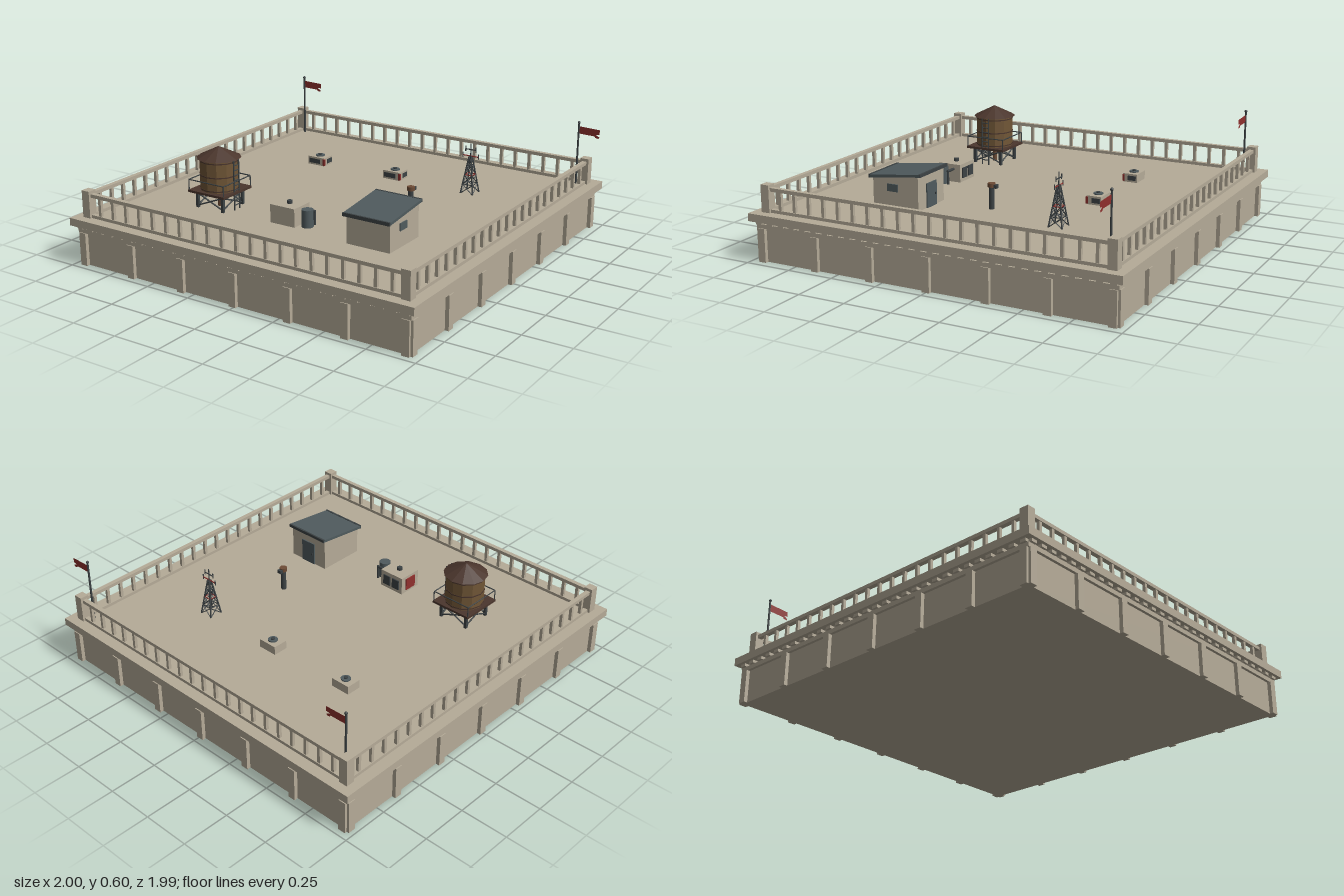
import * as THREE from 'three';

const mat = (name, color, extra = {}) => Object.assign(new THREE.MeshStandardMaterial({ color, ...extra }), { name });

export function createModel() {
  const M = {
    concrete: mat('concrete', 0xb5ab98),
    wood: mat('wood', 0x705636),
    shingle: mat('brown shingle', 0x4b362d),
    slate: mat('slate roofing', 0x505b5e),
    metal: mat('dark metal', 0x3d4345),
    red: mat('red paint', 0x8f302d),
    flag: mat('flag cloth', 0x8f302d, { side: THREE.DoubleSide }),
    rust: mat('rust', 0x6e4c36),
  };
  const model = new THREE.Group();
  const group = (name, x = 0, y = 0, z = 0, parent = model) => {
    const g = new THREE.Group();
    g.name = name;
    g.position.set(x, y, z);
    parent.add(g);
    return g;
  };
  const add = (p, name, geo, m, x = 0, y = 0, z = 0) => {
    const mesh = new THREE.Mesh(geo, m);
    mesh.name = name;
    mesh.position.set(x, y, z);
    p.add(mesh);
    return mesh;
  };
  // boxes and cylinders are placed by the centre of their base
  const box = (p, name, w, h, d, x, y, z, m) => add(p, name, new THREE.BoxGeometry(w, h, d), m, x, y + h / 2, z);
  const cyl = (p, name, r0, r1, h, n, x, y, z, m) => add(p, name, new THREE.CylinderGeometry(r1, r0, h, n), m, x, y + h / 2, z);
  const bar = (p, name, a, b, r, m, n = 6) => {
    const from = new THREE.Vector3(...a), to = new THREE.Vector3(...b);
    const dir = to.clone().sub(from);
    const mesh = add(p, name, new THREE.CylinderGeometry(r, r, dir.length(), n), m);
    mesh.position.copy(from).addScaledVector(dir, 0.5);
    mesh.quaternion.setFromUnitVectors(new THREE.Vector3(0, 1, 0), dir.normalize());
    return mesh;
  };

  // Building block with band and cornice slab
  const building = group('building', -0.008);
  box(building, 'walls', 1.9, 0.215, 1.9, 0, 0, 0, M.concrete);
  box(building, 'band', 1.93, 0.022, 1.93, 0, 0.173, 0, M.concrete);
  box(building, 'cornice', 1.986, 0.04, 1.986, 0, 0.21, 0, M.concrete);

  // Each side: pilasters, dentils, balustrade and one corner post
  for (let s = 0; s < 4; s++) {
    const side = group('side', 0, 0, 0, building);
    side.rotation.y = s * Math.PI / 2;
    for (let i = -3; i <= 3; i++) box(side, 'pilaster', 0.04, 0.173, 0.03, i * 0.3125, 0, 0.955, M.concrete);
    for (let i = 0; i < 30; i++) box(side, 'dentil', 0.032, 0.018, 0.03, (i - 14.5) * 0.065, 0.195, 0.962, M.concrete);
    box(side, 'bottomRail', 1.8, 0.016, 0.024, 0, 0.25, 0.922, M.concrete);
    box(side, 'topRail', 1.8, 0.018, 0.024, 0, 0.357, 0.922, M.concrete);
    for (let i = 0; i < 21; i++) box(side, 'baluster', 0.016, 0.095, 0.016, (i - 10) * 0.0845, 0.264, 0.922, M.concrete);
    box(side, 'cornerPost', 0.047, 0.14, 0.047, 0.922, 0.25, 0.922, M.concrete);
  }

  // Flags on the back corners
  const cloth = new THREE.Shape([
    [0, 0.052], [0.06, 0.05], [0.118, 0.048], [0.118, 0.022], [0.095, 0.02],
    [0.118, 0.008], [0.112, 0], [0.095, 0.002], [0.09, 0.01], [0, 0.012],
  ].map(([x, y]) => new THREE.Vector2(x, y)));
  for (const x of [-0.893, 0.877]) {
    const flag = group('flag', x, 0.25, -0.887);
    cyl(flag, 'flagpole', 0.006, 0.005, 0.335, 8, 0, 0, 0, M.metal);
    add(flag, 'finial', new THREE.SphereGeometry(0.008, 8, 6), M.metal, 0, 0.337, 0);
    add(flag, 'flagCloth', new THREE.ShapeGeometry(cloth), M.flag, 0, 0.265, 0);
  }

  // Water tower
  const tower = group('waterTower', -0.491, 0.25, 0.435);
  for (const a of [-1, 1]) {
    for (const b of [-1, 1]) box(tower, 'towerLeg', 0.015, 0.085, 0.015, a * 0.08, 0, b * 0.08, M.metal);
    for (const b of [-1, 1]) {
      bar(tower, 'crossBrace', [-0.08 * b, 0.01, a * 0.08], [0.08 * b, 0.075, a * 0.08], 0.004, M.metal);
      bar(tower, 'crossBrace', [a * 0.08, 0.01, -0.08 * b], [a * 0.08, 0.075, 0.08 * b], 0.004, M.metal);
    }
  }
  box(tower, 'platform', 0.228, 0.012, 0.228, 0, 0.083, 0, M.shingle);
  for (let s = 0; s < 4; s++) {
    const rail = group('platformRail', 0, 0, 0, tower);
    rail.rotation.y = s * Math.PI / 2;
    bar(rail, 'handrail', [-0.11, 0.15, 0.11], [0.11, 0.15, 0.11], 0.003, M.metal);
    bar(rail, 'railPost', [0.11, 0.095, 0.11], [0.11, 0.15, 0.11], 0.003, M.metal);
  }
  const tank = new THREE.CylinderGeometry(0.1, 0.1, 0.17, 12).toNonIndexed();
  tank.computeVertexNormals();
  add(tower, 'tank', tank, M.wood, 0, 0.18, 0);
  for (const y of [0.1, 0.172, 0.245]) cyl(tower, 'tankHoop', 0.102, 0.102, 0.006, 12, 0, y, 0, M.shingle);
  const roof = new THREE.ConeGeometry(0.114, 0.057, 12).toNonIndexed();
  roof.computeVertexNormals();
  add(tower, 'tankRoof', roof, M.shingle, 0, 0.288, 0);
  cyl(tower, 'outletPipe', 0.012, 0.012, 0.085, 8, 0, 0, 0, M.rust);
  for (const z of [-0.02, 0.02]) bar(tower, 'ladderRail', [0.108, 0, z], [0.108, 0.26, z], 0.004, M.metal);
  for (let i = 1; i < 10; i++) bar(tower, 'rung', [0.108, i * 0.026, -0.02], [0.108, i * 0.026, 0.02], 0.003, M.metal);

  // Stair shed with a roof falling toward the front
  const shed = group('shed', 0.46, 0.25, 0.4);
  const outline = new THREE.Shape([[-0.13, 0], [0.13, 0], [0.13, 0.176], [-0.13, 0.146]].map(([x, y]) => new THREE.Vector2(x, y)));
  const shell = new THREE.ExtrudeGeometry(outline, { depth: 0.24, bevelEnabled: false });
  shell.rotateY(Math.PI / 2); // profile x becomes -z
  add(shed, 'shedWalls', shell, M.concrete, -0.12, 0, 0);
  const slab = box(shed, 'shedRoof', 0.26, 0.014, 0.29, 0, 0.16, 0, M.slate);
  slab.rotation.x = Math.atan2(0.03, 0.26);
  box(shed, 'gutter', 0.26, 0.018, 0.01, 0, 0.142, 0.146, M.metal);
  box(shed, 'backFascia', 0.26, 0.016, 0.01, 0, 0.175, -0.143, M.metal);
  box(shed, 'door', 0.09, 0.125, 0.008, 0, 0, -0.132, M.slate);
  box(shed, 'doorHandle', 0.008, 0.012, 0.008, -0.03, 0.055, -0.137, M.metal);
  box(shed, 'sideVent', 0.008, 0.038, 0.06, 0.122, 0.085, 0.015, M.slate);

  // Large ventilation unit with a tank beside it
  const vent = group('ventilationUnit', -0.058, 0.25, 0.43);
  box(vent, 'unitBody', 0.145, 0.095, 0.13, 0, 0, 0, M.concrete);
  cyl(vent, 'roofCap', 0.014, 0.014, 0.015, 12, 0, 0.095, 0, M.metal);
  for (const x of [-0.03, 0.03]) box(vent, 'grille', 0.045, 0.055, 0.008, x, 0.02, -0.067, M.metal);
  box(vent, 'redPanel', 0.008, 0.065, 0.07, -0.074, 0.015, 0, M.red);
  cyl(vent, 'pressureTank', 0.03, 0.03, 0.09, 12, 0.116, 0, 0.015, M.slate);
  bar(vent, 'connectingPipe', [0.07, 0.07, -0.025], [0.135, 0.07, -0.025], 0.007, M.metal);
  bar(vent, 'dropPipe', [0.13, 0, -0.025], [0.13, 0.07, -0.025], 0.007, M.metal);

  // Two small cooling units
  for (const [x, z] of [[-0.463, -0.425], [0.02, -0.437]]) {
    const unit = group('coolingUnit', x, 0.25, z);
    box(unit, 'unitBody', 0.105, 0.045, 0.08, 0, 0, 0, M.concrete);
    cyl(unit, 'fanRing', 0.025, 0.025, 0.006, 12, 0, 0.045, 0, M.slate);
    cyl(unit, 'fanHub', 0.01, 0.01, 0.012, 10, 0, 0.045, 0, M.metal);
    box(unit, 'frontGrille', 0.07, 0.025, 0.008, -0.01, 0.01, 0.039, M.metal);
    box(unit, 'sideGrille', 0.008, 0.025, 0.045, 0.051, 0.01, -0.01, M.metal);
    box(unit, 'redSwitch', 0.012, 0.035, 0.012, 0.05, 0.004, 0.037, M.red);
  }

  // Vent pipe with a hood
  const pipe = group('ventPipe', 0.365, 0.25, -0.02);
  cyl(pipe, 'stack', 0.014, 0.014, 0.115, 10, 0, 0, 0, M.metal);
  cyl(pipe, 'hood', 0.02, 0.02, 0.02, 10, 0, 0.112, 0, M.rust);
  box(pipe, 'hoodOutlet', 0.024, 0.018, 0.025, 0, 0.108, -0.02, M.metal);

  // Lattice antenna mast
  const mast = group('antennaMast', 0.475, 0.25, -0.44);
  const half = y => 0.036 - 0.15 * y;
  for (let s = 0; s < 4; s++) {
    const face = group('mastFace', 0, 0, 0, mast);
    face.rotation.y = s * Math.PI / 2;
    const at = (k, y) => [k * half(y), y, half(y)];
    bar(face, 'mastLeg', at(1, 0), at(1, 0.2), 0.004, M.metal);
    for (let i = 0; i < 4; i++) {
      const y = i * 0.05, top = y + 0.05;
      bar(face, 'lattice', at(-1, y), at(1, top), 0.0025, M.metal);
      bar(face, 'lattice', at(1, y), at(-1, top), 0.0025, M.metal);
      bar(face, 'mastTie', at(-1, top), at(1, top), 0.0025, i === 1 ? M.red : M.metal);
    }
  }
  bar(mast, 'spire', [0, 0.18, 0], [0, 0.265, 0], 0.003, M.metal);
  for (const [y, w] of [[0.2, 0.045], [0.235, 0.03]]) {
    bar(mast, 'crossArm', [-w, y, 0], [w, y, 0], 0.003, y < 0.21 ? M.red : M.metal);
    for (const k of [-1, 1]) bar(mast, 'armTip', [k * w, y - 0.012, 0], [k * w, y + 0.015, 0], 0.003, M.metal);
  }
  return model;
}
